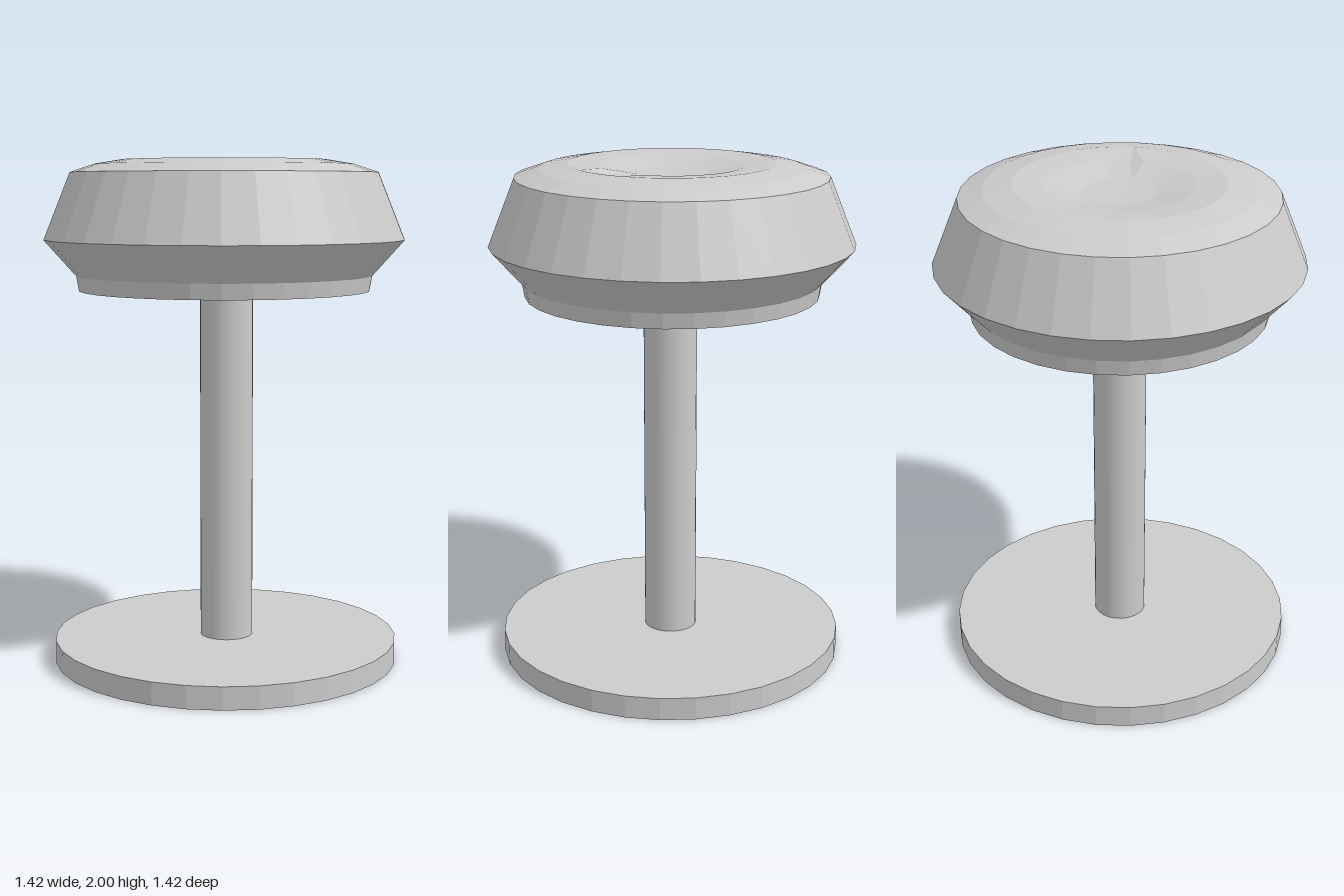
import * as THREE from 'three';

const SIDES = 32;

function addMesh(group, name, geometry, flatShading, side = THREE.FrontSide) {
  const material = new THREE.MeshStandardMaterial({ color: 0xcccccc, flatShading, side });
  const mesh = new THREE.Mesh(geometry, material);
  mesh.name = name;
  group.add(mesh);
  return mesh;
}

export function createModel() {
  const group = new THREE.Group();
  group.name = 'stool';

  // Floor plate
  const base = addMesh(group, 'base', new THREE.CylinderGeometry(0.69, 0.69, 0.09, SIDES), true);
  base.position.set(0, 0.045, 0.007);

  // Post, ending just inside the hollow seat
  const post = addMesh(group, 'post', new THREE.CylinderGeometry(0.105, 0.105, 1.53, SIDES), false);
  post.position.set(0.004, 0.815, 0.009);

  // Hollow cushion shell, open underneath, with a dished top
  const profile = [
    [0.575, 1.49], [0.585, 1.55], [0.71, 1.69], [0.605, 1.95], [0.51, 1.982],
    [0.4, 2], [0.28, 1.99], [0.14, 1.962], [0, 1.956],
  ].map(([r, y]) => new THREE.Vector2(r, y));
  const seatGeometry = new THREE.LatheGeometry(profile, SIDES);

  // Shallow crease in the front left of the dish
  const p = seatGeometry.attributes.position;
  for (let i = 0; i < p.count; i++) {
    const r = Math.hypot(p.getX(i), p.getZ(i));
    const angle = Math.atan2(p.getX(i), p.getZ(i));
    if (r > 0.2 && r < 0.35 && angle > 0.15 && angle < 0.75) p.setY(i, p.getY(i) - 0.014);
  }
  seatGeometry.computeVertexNormals();
  addMesh(group, 'seat', seatGeometry, true, THREE.DoubleSide);

  return group;
}
